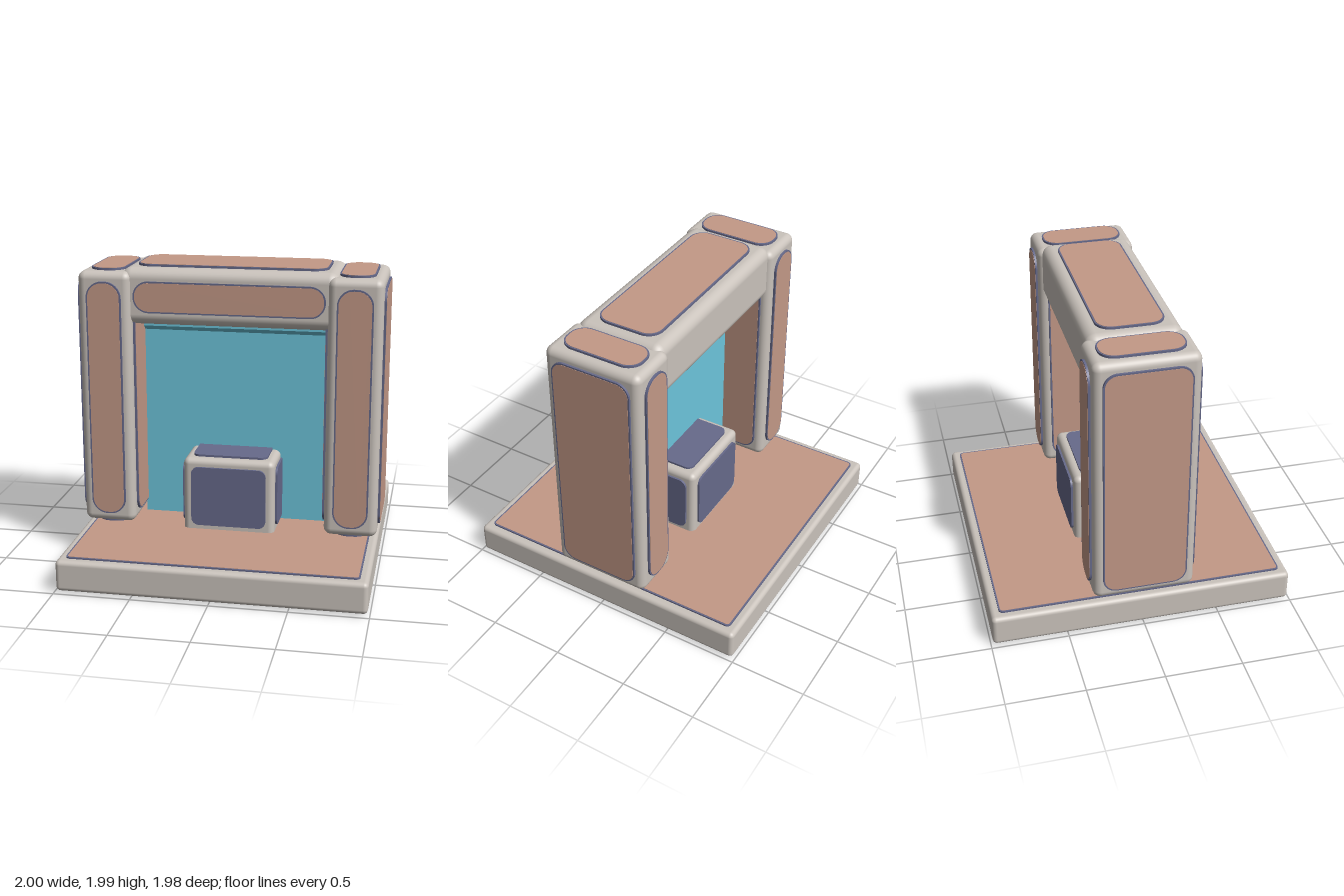
import * as THREE from 'three';
import { RoundedBoxGeometry } from 'three/addons/geometries/RoundedBoxGeometry.js';

const flat = (name, color) => {
  const m = new THREE.MeshStandardMaterial({ color });
  m.name = name;
  return m;
};

// rotation that turns a +z facing plate towards each side of a block
const TURN = {
  front: [0, 0, 0], back: [0, Math.PI, 0],
  left: [0, Math.PI / 2, 0], right: [0, -Math.PI / 2, 0],
  top: [-Math.PI / 2, 0, 0], bottom: [Math.PI / 2, 0, 0],
};

function roundedPlate(w, h, r, depth) {
  const s = new THREE.Shape();
  const x = w / 2, y = h / 2;
  s.moveTo(-x + r, -y);
  s.lineTo(x - r, -y);
  s.absarc(x - r, -y + r, r, -Math.PI / 2, 0);
  s.lineTo(x, y - r);
  s.absarc(x - r, y - r, r, 0, Math.PI / 2);
  s.lineTo(-x + r, y);
  s.absarc(-x + r, y - r, r, Math.PI / 2, Math.PI);
  s.lineTo(-x, -y + r);
  s.absarc(-x + r, -y + r, r, Math.PI, Math.PI * 1.5);
  return new THREE.ExtrudeGeometry(s, { depth, bevelEnabled: false, curveSegments: 8 });
}

export function createModel() {
  const stone = flat('warm grey stone', 0xcac3bc);
  const clay = flat('clay panel', 0xc39987);
  const indigo = flat('indigo trim', 0x676a8b);
  const teal = flat('teal screen', 0x6dc5dc);
  const model = new THREE.Group();
  model.name = 'gateway';

  const add = (parent, name, geometry, material, z = 0) => {
    const mesh = new THREE.Mesh(geometry, material);
    mesh.name = name;
    mesh.position.z = z;
    parent.add(mesh);
  };

  // raised indigo plate with an optional clay face on top
  function panel(parent, side, distance, [w, h, r, lift = 0.016], faced) {
    const g = new THREE.Group();
    g.name = side + 'Panel';
    g.rotation.set(...TURN[side]);
    g.position.set(0, 0, distance + lift).applyEuler(g.rotation);
    add(g, 'panelTrim', roundedPlate(w, h, r, 0.03), indigo, -0.032);
    if (faced) add(g, 'panelFace', roundedPlate(w - 0.02, h - 0.02, r - 0.01, 0.003), clay, -0.003);
    parent.add(g);
  }

  // rounded stone block carrying panels on the listed sides
  function block(name, size, center, radius, panels, faced = true) {
    const g = new THREE.Group();
    g.name = name;
    g.position.set(...center);
    add(g, name + 'Body', new RoundedBoxGeometry(...size, 4, radius), stone);
    const [x, y, z] = size;
    const span = { left: x, right: x, top: y, bottom: y, front: z, back: z };
    for (const [side, spec] of Object.entries(panels)) panel(g, side, span[side] / 2, spec, faced);
    model.add(g);
    return g;
  }

  // floor slab
  const floor = [1.865, 1.865, 0.03, 0.012];
  block('base', [1.975, 0.206, 1.975], [0, 0.115, 0], 0.03, { top: floor, bottom: floor });

  // pillars, their lower pads resting on the floor
  const narrow = [0.23, 1.575, 0.105];
  const wide = [0.545, 1.575, 0.09];
  const cap = [0.23, 0.535, 0.1];
  for (const s of [1, -1]) {
    block(s > 0 ? 'leftPillar' : 'rightPillar', [0.35, 1.7, 0.66], [s * 0.81, 1.1, 0], 0.05, {
      front: narrow, back: narrow, left: wide, right: wide, top: cap, bottom: [0.23, 0.535, 0.1, 0.022],
    });
  }

  // lintel
  block('lintel', [1.415, 0.37, 0.605], [0, 1.79, 0], 0.07, {
    top: [1.245, 0.43, 0.1], front: [1.245, 0.205, 0.1, 0.01],
  });

  // pedestal standing through the screen
  const face = [0.5, 0.405, 0.05];
  const pedestal = block('pedestal', [0.61, 0.54, 0.61], [0, 0.45, 0], 0.04, {
    front: face, back: face, left: face, right: face, top: [0.5, 0.5, 0.05],
  }, false);
  for (const p of pedestal.children) if (/front|back|left|right/.test(p.name)) p.position.y = 0.013;

  // thin screen, thicker above a sloping step
  const profile = new THREE.Shape([
    [-0.015, 0.22], [0.015, 0.22], [0.015, 1.52], [0.05, 1.55], [0.05, 1.7], [-0.05, 1.7], [-0.05, 1.55], [-0.015, 1.52],
  ].map(([z, y]) => new THREE.Vector2(z, y)));
  const screen = new THREE.ExtrudeGeometry(profile, { depth: 1.26, bevelEnabled: false });
  screen.translate(0, 0, -0.63).rotateY(Math.PI / 2);
  add(model, 'screen', screen, teal);

  return model;
}
